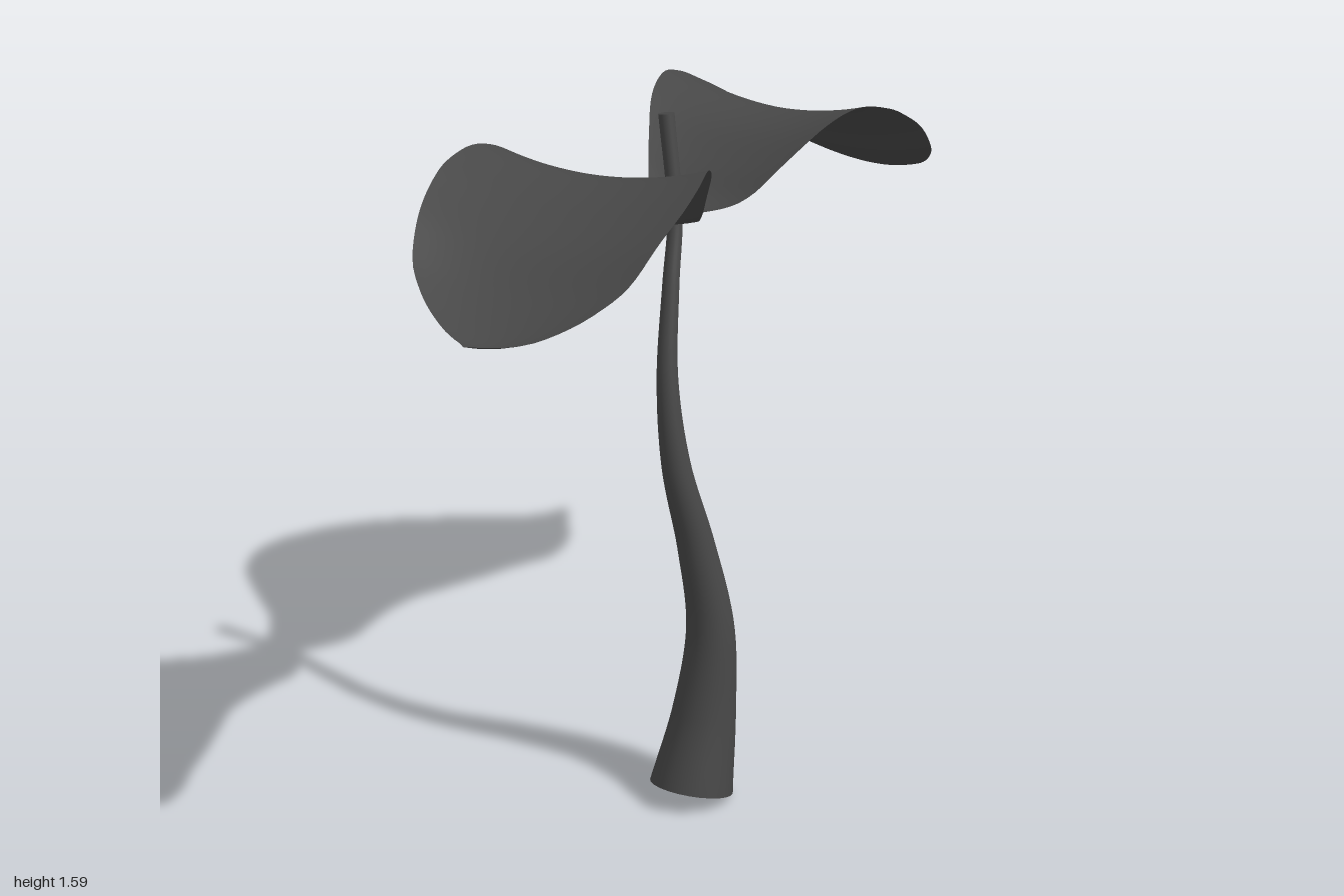
import * as THREE from 'three';

const material = new THREE.MeshStandardMaterial({ color: 0x484848, side: THREE.DoubleSide });

// Smooth curve through [position, value] pairs, sampled by position.
function profile(points) {
  const curve = new THREE.SplineCurve(points.map(([a, b]) => new THREE.Vector2(a, b)));
  const samples = curve.getPoints(300);
  return (s) => {
    let i = 1;
    while (i < samples.length - 1 && samples[i].x < s) i++;
    const a = samples[i - 1], b = samples[i];
    const k = THREE.MathUtils.clamp((s - a.x) / (b.x - a.x || 1), 0, 1);
    return a.y + (b.y - a.y) * k;
  };
}

const LEAF_START = -0.03, LEAF_END = 1.08;

// Half width, edge height and cupping along the leaf.
const halfWidth = profile([[-0.03, 0.035], [0, 0.06], [0.07, 0.1], [0.2, 0.177], [0.33, 0.24],
  [0.53, 0.28], [0.745, 0.25], [0.86, 0.185], [0.98, 0.065], [1.03, 0.028], [1.08, 0.003]]);
const edgeHeight = profile([[-0.03, 0.005], [0.07, 0.002], [0.13, 0.022], [0.2, 0.078], [0.3, 0.148],
  [0.4, 0.17], [0.5, 0.145], [0.58, 0.108], [0.69, 0.045], [0.8, -0.045], [0.915, -0.125],
  [0.985, -0.15], [1.08, -0.142]]);

// Arched leaf, cupped across its width; lift raises it towards the tip.
function makeLeaf(name, base, angle, lift) {
  const geometry = new THREE.PlaneGeometry(1, 1, 60, 20);
  const p = geometry.attributes.position;
  for (let i = 0; i < p.count; i++) {
    const u = p.getX(i) + 0.5, v = -p.getY(i) * 2;
    const s = LEAF_START + u * (LEAF_END - LEAF_START);
    const w = halfWidth(s);
    const shift = -0.014 * Math.sin(Math.PI * u) * (Math.cos(angle) > 0 ? 1 : -1);
    const y = edgeHeight(s) + lift * s - 0.16 * w * (1 - v * v);
    p.setXYZ(i, s, y, v * w + shift);
  }
  geometry.computeVertexNormals();
  const leaf = new THREE.Mesh(geometry, material);
  leaf.name = name;
  leaf.position.set(...base);
  leaf.rotation.y = angle;
  return leaf;
}

// Curved stem, tapering from a flared foot.
function makeStem() {
  const stem = new THREE.Group();
  stem.name = 'stem';
  const path = new THREE.CatmullRomCurve3([
    [-0.135, 0.03, 0.142], [-0.087, 0.2, 0.13], [-0.06, 0.4, 0.12], [-0.083, 0.6, 0.098],
    [-0.122, 0.8, 0.075], [-0.123, 1.0, 0.047], [-0.085, 1.2, 0.014], [-0.048, 1.35, -0.015],
    [-0.04, 1.57, -0.053],
  ].map((c) => new THREE.Vector3(...c)));
  const radius = profile([[0, 0.1], [0.2, 0.073], [0.4, 0.055], [0.6, 0.043], [0.8, 0.033],
    [1.0, 0.024], [1.2, 0.019], [1.35, 0.017], [1.6, 0.018]]);
  const steps = 64, sides = 24;
  const geometry = new THREE.TubeGeometry(path, steps, 1, sides);
  const p = geometry.attributes.position;
  const v = new THREE.Vector3();
  for (let i = 0; i <= steps; i++) {
    const c = path.getPointAt(i / steps);
    const r = radius(c.y);
    for (let j = 0; j <= sides; j++) {
      const k = i * (sides + 1) + j;
      v.fromBufferAttribute(p, k).sub(c).multiplyScalar(r).add(c);
      p.setXYZ(k, v.x, v.y, v.z);
    }
  }
  const stalk = new THREE.Mesh(geometry, material);
  stalk.name = 'stalk';
  stem.add(stalk);

  // End caps
  for (const [name, t, sign] of [['foot', 0, -1], ['stemTop', 1, 1]]) {
    const c = path.getPointAt(t);
    const cap = new THREE.Mesh(new THREE.CircleGeometry(radius(c.y), sides), material);
    cap.name = name;
    cap.position.copy(c);
    cap.quaternion.setFromUnitVectors(new THREE.Vector3(0, 0, 1), path.getTangentAt(t).multiplyScalar(sign));
    stem.add(cap);
  }
  return stem;
}

export function createModel() {
  const model = new THREE.Group();
  model.name = 'sprout';
  model.add(makeStem());
  model.add(makeLeaf('leftLeaf', [-0.03, 1.345, -0.05], Math.atan2(0.33, 1.03), 0));
  model.add(makeLeaf('rightLeaf', [-0.05, 1.345, -0.04], Math.atan2(-0.52, -0.95), 0.2));
  return model;
}
